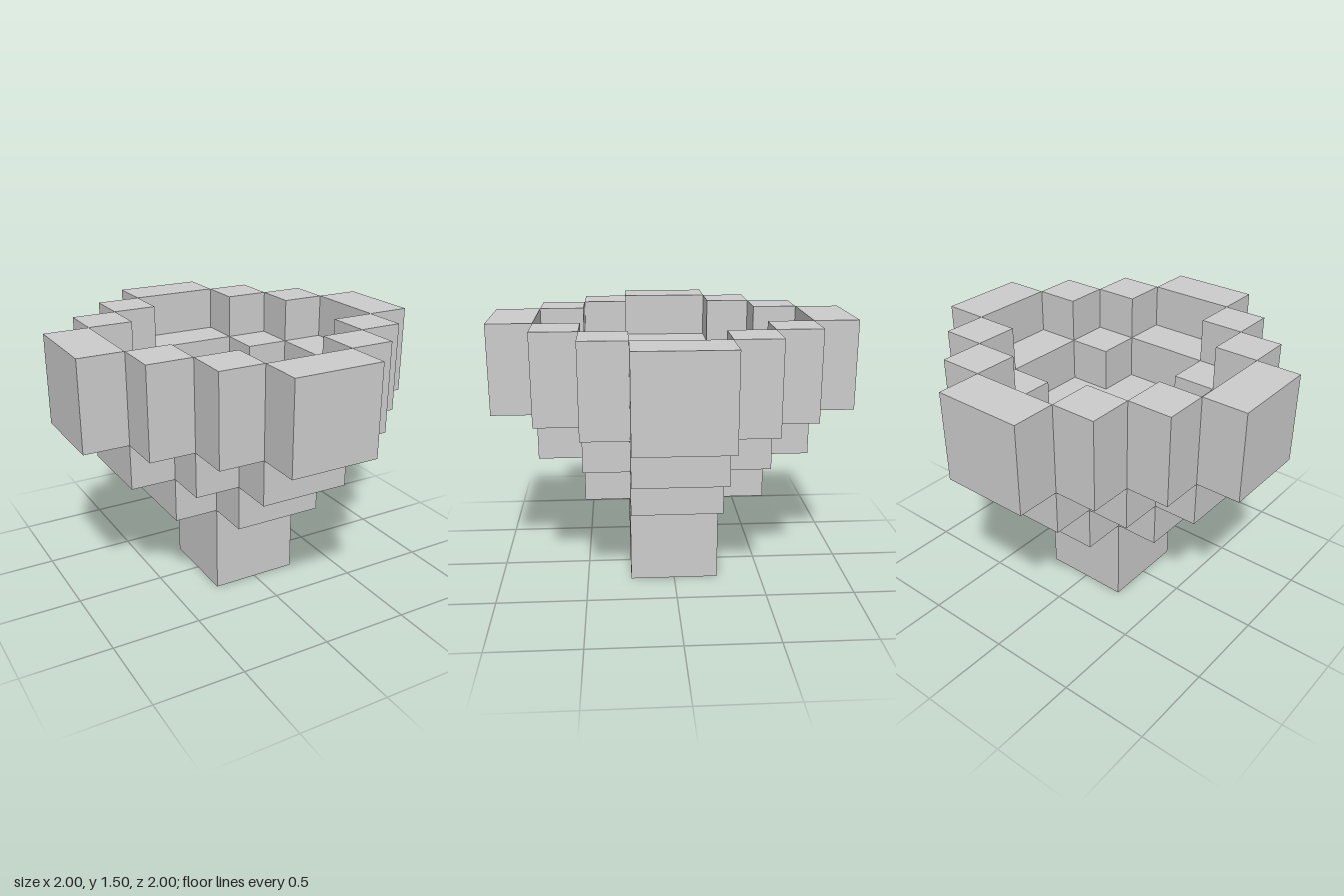
import * as THREE from 'three';

const U = 0.25; // edge of one block
const material = new THREE.MeshStandardMaterial({ color: 0xcccccc, flatShading: true });

function block(name, width, height, depth, x, bottom, z) {
  const mesh = new THREE.Mesh(new THREE.BoxGeometry(width, height, depth), material);
  mesh.name = name;
  mesh.position.set(x, bottom + height / 2, z);
  return mesh;
}

// Stepped diamond ring: four wide end blocks joined by diagonal rows of single blocks
function diamondRing(name, steps, bottom, height) {
  const ring = new THREE.Group();
  ring.name = name;
  const reach = (steps + 0.5) * U;
  for (const s of [-1, 1]) {
    ring.add(block('endBlock', U, height, 2 * U, s * reach, bottom, 0));
    ring.add(block('endBlock', 2 * U, height, U, 0, bottom, s * reach));
    for (const t of [-1, 1]) {
      for (let i = 1; i < steps; i++) {
        const x = s * (i + 0.5) * U;
        const z = t * (steps - i + 0.5) * U;
        ring.add(block('cornerBlock', U, height, U, x, bottom, z));
      }
    }
  }
  return ring;
}

export function createModel() {
  const model = new THREE.Group();
  model.name = 'steppedBowl';

  // Square stem, rising to the level of the bowl floor
  model.add(block('stem', 2 * U, 4 * U, 2 * U, 0, 0, 0));

  // Bowl tiers, each one block wider and one block higher
  model.add(diamondRing('bowlFloor', 1, 2 * U, 2 * U));
  model.add(diamondRing('bowlStep', 2, 3 * U, 2 * U));
  model.add(diamondRing('bowlRim', 3, 4 * U, 2 * U));

  return model;
}
